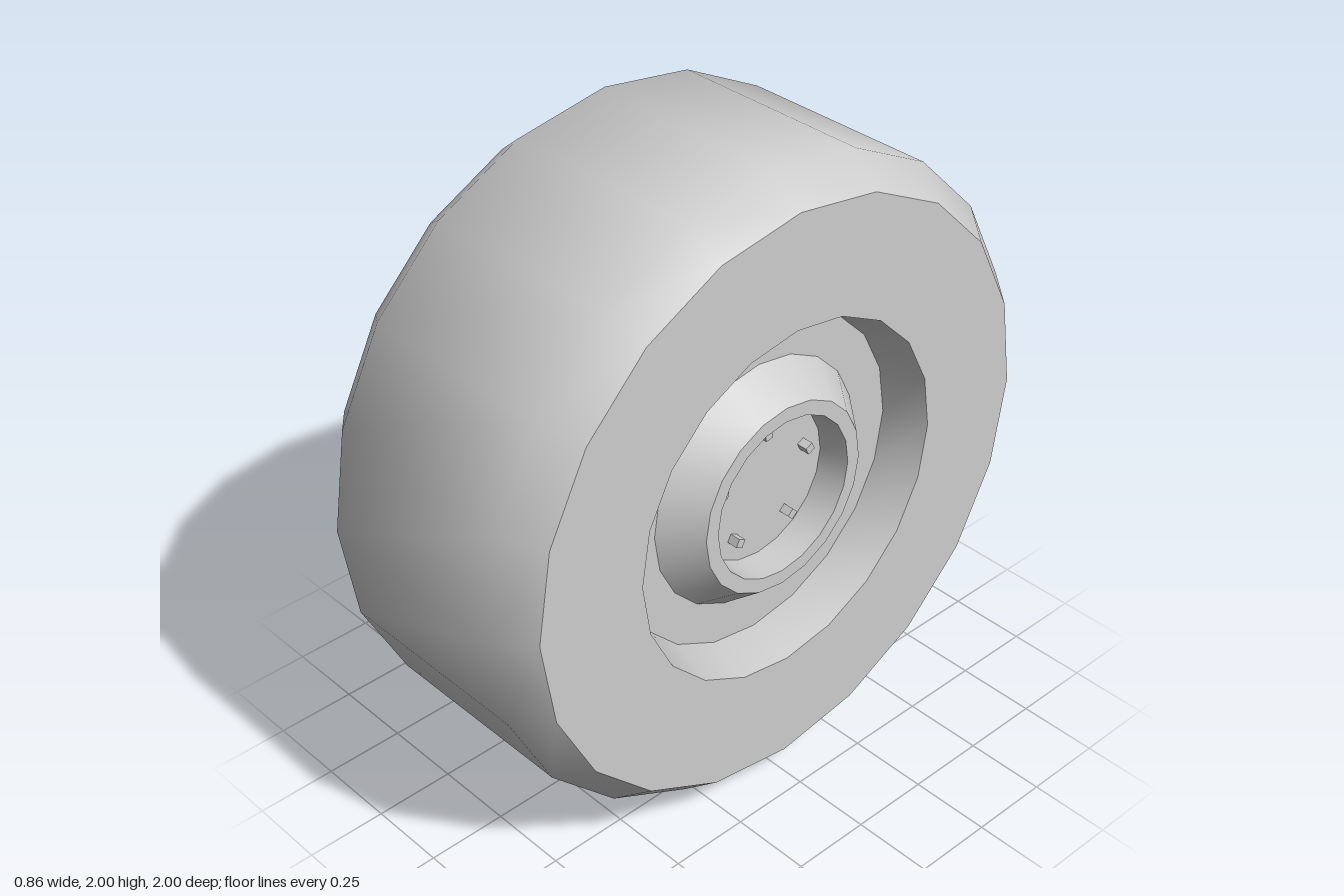
import * as THREE from 'three';
import { toCreasedNormals } from 'three/addons/utils/BufferGeometryUtils.js';

const SIDES = 20;

// Revolve a profile of [radius, x] points around the x axle
function revolve(points) {
  const profile = points.map(([r, x]) => new THREE.Vector2(r, x));
  const geometry = new THREE.LatheGeometry(profile, SIDES);
  geometry.rotateZ(-Math.PI / 2);
  return toCreasedNormals(geometry, 0.78);
}

export function createModel() {
  const wheel = new THREE.Group();
  wheel.name = 'wheel';
  const grey = new THREE.MeshStandardMaterial({ color: 0xcccccc });
  grey.name = 'grey';

  const add = (geometry, name) => {
    const mesh = new THREE.Mesh(geometry, grey);
    mesh.name = name;
    wheel.add(mesh);
    return mesh;
  };

  // Tyre: bevelled tread, flat sidewalls, tapered rim lip and open rear bore
  add(revolve([
    [0.545, -0.43], [0.915, -0.43], [1, -0.325], [1, 0.325], [0.915, 0.43],
    [0.56, 0.43], [0.52, 0.29], [0.52, 0.14], [0.545, -0.43],
  ]), 'tyre');

  // Hub: recessed plate with a raised conical ring around a sunken disc
  add(revolve([
    [0, 0.14], [0.52, 0.14], [0.52, 0.29], [0.39, 0.29], [0.3, 0.4],
    [0.255, 0.4], [0.245, 0.3], [0, 0.3],
  ]), 'hub');

  // Five lug nuts on the sunken disc
  for (let i = 0; i < 5; i++) {
    const angle = (i * Math.PI * 2) / 5;
    const nut = add(new THREE.BoxGeometry(0.04, 0.026, 0.026), 'lugNut' + (i + 1));
    nut.position.set(0.315, 1 + 0.176 * Math.cos(angle), 0.176 * Math.sin(angle));
    nut.rotation.x = angle + 0.15;
  }

  // Lift the wheel so it rests on the ground
  wheel.children.forEach((mesh) => {
    if (!mesh.name.startsWith('lugNut')) mesh.position.y = 1;
  });
  return wheel;
}
